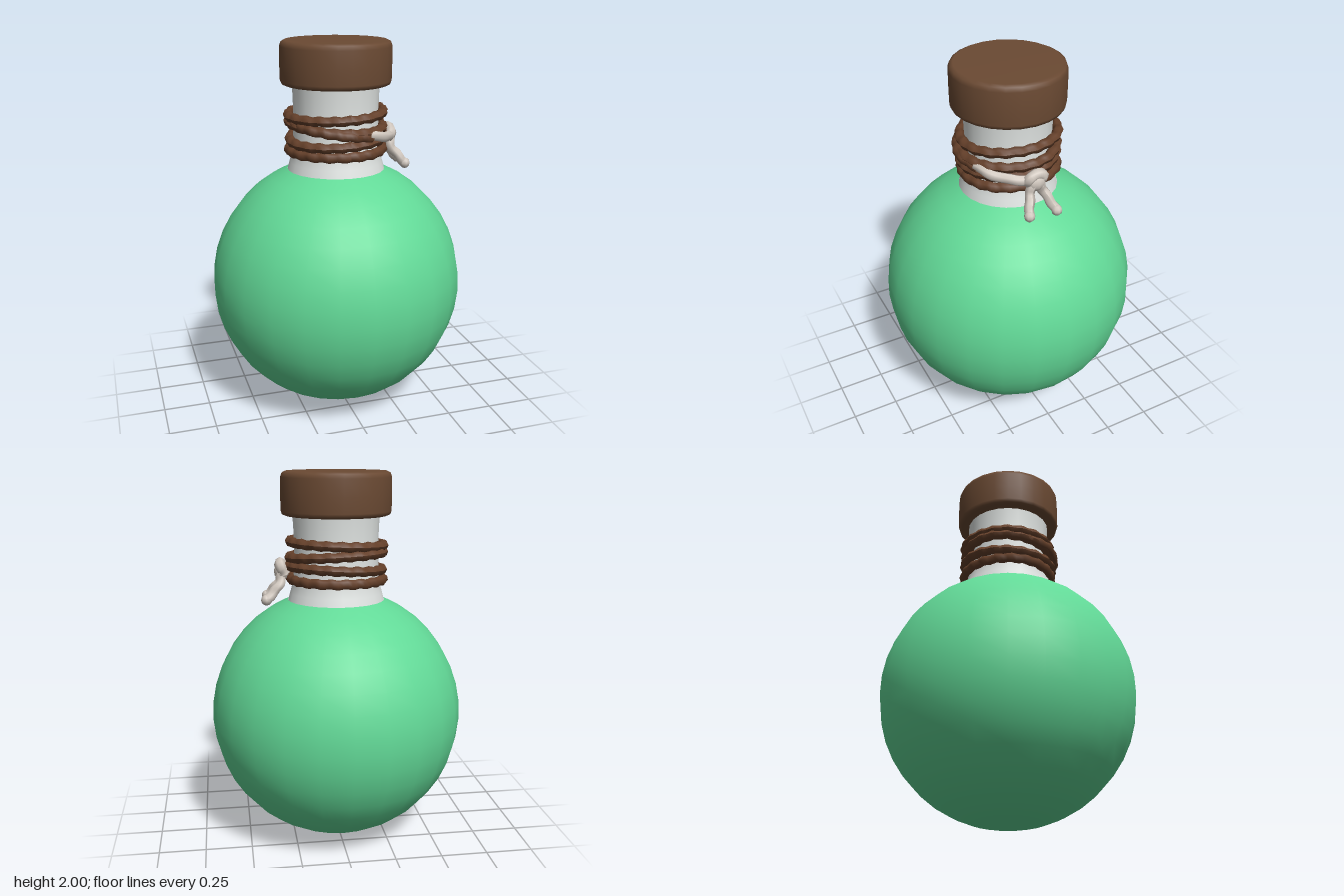
import * as THREE from 'three';

const material = (name, color, side = THREE.FrontSide) => {
  const m = new THREE.MeshStandardMaterial({ color, side });
  m.name = name;
  return m;
};

export function createModel() {
  const model = new THREE.Group();
  model.name = 'potionBottle';
  const green = material('green liquid', 0x62d997);
  const glass = material('pale glass', 0xe0e4e2, THREE.DoubleSide);
  const cork = material('brown cork', 0x6b4a33);
  const twine = material('brown twine', 0x65402a);
  const cord = material('pale cord', 0xd0c7be);

  const add = (name, geometry, mat, parent = model) => {
    const mesh = new THREE.Mesh(geometry, mat);
    mesh.name = name;
    parent.add(mesh);
    return mesh;
  };
  const lathe = (points, sides) =>
    new THREE.LatheGeometry(points.map(([r, y]) => new THREE.Vector2(r, y)), sides);

  // Tube whose surface swells in a spiral, like twisted fibre
  const rope = (points, radius, closed = false, steps = 72, twists = 20) => {
    const curve = new THREE.CatmullRomCurve3(points, closed);
    const sides = 7;
    const geo = new THREE.TubeGeometry(curve, steps, radius, sides, closed);
    const pos = geo.attributes.position;
    const v = new THREE.Vector3();
    for (let i = 0; i <= steps; i++) {
      const centre = curve.getPointAt(i / steps);
      for (let j = 0; j <= sides; j++) {
        const k = i * (sides + 1) + j;
        const swell = 1 + 0.13 * Math.sin((i / steps * twists + j / sides) * Math.PI * 2);
        v.fromBufferAttribute(pos, k).sub(centre).multiplyScalar(swell).add(centre);
        pos.setXYZ(k, v.x, v.y, v.z);
      }
    }
    geo.computeVertexNormals();
    return geo;
  };
  const around = (angle, r, y) => new THREE.Vector3(Math.sin(angle) * r, y, Math.cos(angle) * r);

  // Round flask body, left open under the neck
  const R = 0.686;
  const body = [];
  const topAngle = Math.PI - Math.acos((1.32 - R) / R);
  for (let i = 0; i <= 18; i++) {
    const a = topAngle * i / 18;
    body.push([R * Math.sin(a), R - R * Math.cos(a)]);
  }
  add('flaskBody', lathe(body, 24), green);

  // Glass neck flaring into the shoulders
  add('neck', lathe([[0.262, 1.315], [0.25, 1.36], [0.236, 1.41], [0.228, 1.5],
    [0.226, 1.62], [0.229, 1.72], [0.235, 1.79]], 24), glass);

  // Stopper with softened rims
  add('stopper', lathe([[0, 1.77], [0.272, 1.77], [0.287, 1.776], [0.294, 1.795],
    [0.295, 1.88], [0.294, 1.968], [0.286, 1.99], [0.268, 1.999], [0, 2.0]], 24), cork);

  // Twine coils: height, tilt across x, tilt across z
  const wrap = new THREE.Group();
  wrap.name = 'twineWrap';
  model.add(wrap);
  [[1.622, 0.012, -0.006], [1.562, -0.012, -0.014], [1.492, 0.012, -0.012], [1.432, 0.004, -0.004]]
    .forEach(([y, tx, tz], n) => {
      const ring = [];
      for (let i = 0; i < 16; i++) {
        const a = i / 16 * Math.PI * 2;
        ring.push(around(a, 0.25 + 0.004 * Math.sin(3 * a + n * 2), y + tx * Math.sin(a) + tz * Math.cos(a)));
      }
      add('twineCoil', rope(ring, 0.026, true), twine, wrap);
    });
  const strand = [[-1.5, 0.25, 1.575], [-0.8, 0.265, 1.565], [-0.1, 0.268, 1.54], [0.5, 0.262, 1.52]];
  add('crossingTwine', rope(strand.map((p) => around(...p)), 0.024, false, 30, 7), twine, wrap);

  // Pale cord tied in a knot at the left side
  const tie = new THREE.Group();
  tie.name = 'cordTie';
  model.add(tie);
  const band = [[0.4, 0.258, 1.532], [0.8, 0.272, 1.515], [1.2, 0.28, 1.495], [1.55, 0.29, 1.49]];
  add('cordBand', rope(band.map((p) => around(...p)), 0.027, false, 20, 2), cord, tie);

  const loop = [[0.285, 1.465, -0.03], [0.298, 1.505, -0.038], [0.305, 1.522, 0],
    [0.298, 1.505, 0.038], [0.285, 1.465, 0.03]];
  add('knotLoop', rope(loop.map((p) => new THREE.Vector3(...p)), 0.029, false, 20, 2), cord, tie);
  const knot = add('knot', new THREE.SphereGeometry(0.05, 10, 8), cord, tie);
  knot.position.set(0.295, 1.475, 0);
  knot.scale.set(0.8, 1, 1.05);

  // Two dangling ends with rounded, slightly fatter tips
  for (const s of [-1, 1]) {
    const out = s < 0 ? 0.012 : 0;
    const end = [[0.3, 1.48, 0.015 * s], [0.302, 1.425, 0.035 * s],
      [0.338, 1.375, 0.058 * s], [0.37 + out, 1.335, 0.074 * s]];
    add('cordEnd', rope(end.map((p) => new THREE.Vector3(...p)), 0.026, false, 14, 2), cord, tie);
    const tip = add('cordTip', new THREE.SphereGeometry(0.029, 8, 6), cord, tie);
    tip.position.set(...end[3]);
  }
  return model;
}
